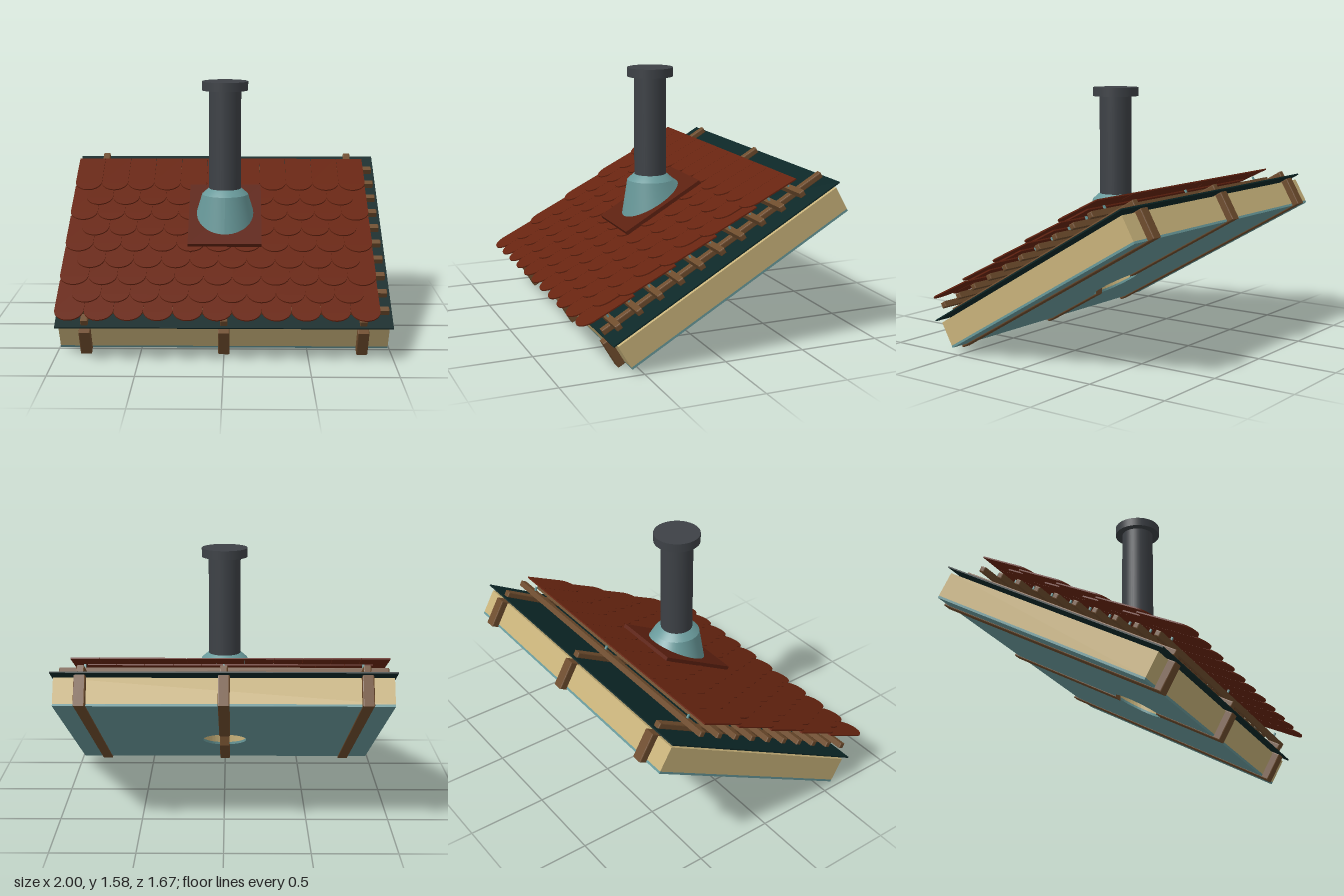
import * as THREE from 'three';

const mat = (name, color) => Object.assign(new THREE.MeshStandardMaterial({ color }), { name });

export function createModel() {
  const wood = mat('brown timber', 0x6e4c2d);
  const tan = mat('tan insulation', 0xc8b27a);
  const dark = mat('dark membrane', 0x0c2727);
  const red = mat('red clay', 0x672410);
  const deepRed = mat('deep red flashing', 0x5c2010);
  const teal = mat('teal', 0x68999a);
  const grey = mat('dark grey pipe', 0x3d4146);

  const model = new THREE.Group();
  model.name = 'roofSectionWithVentPipe';

  // Tilted group: local z runs down the slope, local y is the height above it
  const roof = new THREE.Group();
  roof.name = 'pitchedRoof';
  roof.rotation.x = Math.PI / 6;
  model.add(roof);

  const PIPE_Z = 0.06, HOLE_R = 0.14;
  const COS = Math.cos(Math.PI / 6), TAN = Math.tan(Math.PI / 6);
  // Where the upright pipe axis crosses a given height above the slope
  const pipeS = n => 0.0693 - TAN * n;

  function add(parent, name, geometry, material, x = 0, y = 0, z = 0) {
    const m = new THREE.Mesh(geometry, material);
    m.name = name;
    m.position.set(x, y, z);
    parent.add(m);
    return m;
  }
  // Plain box spanning s0..s1 down the slope and n0..n1 in height
  const layer = (name, w, s0, s1, n0, n1, material, x = 0) =>
    add(roof, name, new THREE.BoxGeometry(w, n1 - n0, s1 - s0), material, x, (n0 + n1) / 2, (s0 + s1) / 2);

  // Sheet with an upright round hole for the pipe
  function piercedLayer(name, w, s0, s1, n0, n1, material) {
    const mid = (n0 + n1) / 2;
    const shape = new THREE.Shape();
    shape.moveTo(-w / 2, -s1).lineTo(w / 2, -s1).lineTo(w / 2, -s0).lineTo(-w / 2, -s0).closePath();
    const hole = new THREE.Path();
    hole.absellipse(0, -pipeS(mid), HOLE_R, HOLE_R / COS, 0, Math.PI * 2, true);
    shape.holes.push(hole);
    const g = new THREE.ExtrudeGeometry(shape, { depth: n1 - n0, bevelEnabled: false, curveSegments: 20 });
    g.rotateX(-Math.PI / 2).translate(0, n0, 0);
    // Lean the hole wall so that it stands upright in the tilted roof
    const p = g.attributes.position;
    for (let i = 0; i < p.count; i++) {
      if (Math.abs(p.getX(i)) < 0.3) p.setZ(i, p.getZ(i) + TAN * (mid - p.getY(i)));
    }
    g.computeVertexNormals();
    add(roof, name, g, material);
  }

  // Bevelled beam from a side outline of [s, n] points
  function beam(name, x, w, points, material) {
    const b = 0.006;
    const shape = new THREE.Shape(points.map(([s, n]) => new THREE.Vector2(s, n)));
    const g = new THREE.ExtrudeGeometry(shape, {
      depth: w - 2 * b, bevelSize: b, bevelOffset: -b, bevelThickness: b, bevelSegments: 2,
    });
    g.rotateY(-Math.PI / 2).translate(w / 2 - b, 0, 0);
    add(roof, name, g, material, x);
  }

  // Insulation, lower lining and upper membrane
  piercedLayer('insulation', 1.96, -1.09, 0.473, 0.324, 0.478, tan);
  piercedLayer('innerLining', 1.96, -1.09, 0.473, 0.31, 0.324, teal);
  layer('membrane', 2, -1.116, 0.498, 0.5, 0.508, dark);
  layer('membraneSeal', 0.45, -0.33, 0.12, 0.494, 0.5, dark);

  // Rafters; the middle one is cut away around the pipe hole
  const S0 = -1.134, S1 = 0.52, N0 = 0.302, N1 = 0.484;
  for (const x of [-0.823, 0.823]) {
    beam('rafter', x, 0.068, [[S0, N0], [S1, N0], [S1, N1], [S0, N1]], wood);
  }
  const cut = HOLE_R / COS - 0.006;
  beam('upperMiddleRafter', 0, 0.068,
    [[S0, N0], [pipeS(N0) - cut, N0], [pipeS(N1) - cut, N1], [S0, N1]], wood);
  beam('lowerMiddleRafter', 0, 0.068,
    [[pipeS(N0) + cut, N0], [S1, N0], [S1, N1], [pipeS(N1) + cut, N1]], wood);

  // Counter battens down the slope
  for (const x of [-0.823, 0, 0.823]) {
    beam('counterBatten', x, 0.045, [[-1.1, 0.513], [0.486, 0.513], [0.486, 0.549], [-1.1, 0.549]], wood);
  }

  // Tile battens across the slope, with small fixings
  const STEP = 0.1447;
  for (let i = 0; i < 10; i++) {
    const s = 0.411 - STEP * i;
    beam('tileBatten', 0, 1.95, [
      [s - 0.018, 0.551], [s + 0.018, 0.551], [s + 0.018, 0.586], [s - 0.018, 0.586],
    ], wood);
    for (const x of [-0.823, 0, 0.823]) layer('battenFixing', 0.012, s - 0.005, s + 0.005, 0.586, 0.61, teal, x);
  }

  // Round-ended tiles, every second course shifted by half a tile
  const W = 0.172, LEN = 0.35, R = W / 2 - 0.0008;
  const tileShape = new THREE.Shape();
  tileShape.moveTo(R, 0).lineTo(-R, 0).lineTo(-R, -(LEN - R));
  tileShape.absarc(0, -(LEN - R), R, Math.PI, Math.PI * 2, false);
  tileShape.closePath();
  const tileGeo = new THREE.ExtrudeGeometry(tileShape, { depth: 0.008, bevelEnabled: false, curveSegments: 14 });
  tileGeo.rotateX(-Math.PI / 2);
  for (let row = 0; row < 9; row++) {
    const odd = row % 2;
    const course = new THREE.Group();
    course.name = 'tileCourse';
    course.position.set(0, 0.634, 0.235 - STEP * row);
    course.rotation.x = -0.066;
    roof.add(course);
    for (let i = 0; i < 11 - odd; i++) add(course, 'tile', tileGeo, red, -0.897 + W * (i + odd / 2));
  }

  // Flashing plate around the pipe
  layer('flashingPlate', 0.455, -0.6, -0.035, 0.662, 0.686, deepRed);

  // Collar whose foot follows the roof slope
  const smoothLathe = pts => new THREE.LatheGeometry(pts.map(([r, y]) => new THREE.Vector2(r, y)), 48);
  const skirt = smoothLathe([[0.18, 0], [0.145, 0.878]]);
  const p = skirt.attributes.position;
  for (let i = 0; i < p.count; i++) {
    if (p.getY(i) < 0.5) p.setY(i, (0.68 - 0.5 * (p.getZ(i) + PIPE_Z)) / COS);
  }
  skirt.computeVertexNormals();
  add(model, 'collarSkirt', skirt, teal, 0, 0, PIPE_Z);
  add(model, 'collarShoulder', smoothLathe([[0.145, 0.878], [0.103, 0.915], [0.095, 0.915]]), teal, 0, 0, PIPE_Z);

  // Vent pipe and its cap
  add(model, 'ventPipe', new THREE.CylinderGeometry(0.1, 0.1, 1.08, 40), grey, 0, 0.99, PIPE_Z);
  add(model, 'pipeCap', new THREE.CylinderGeometry(0.143, 0.143, 0.055, 40), grey, 0, 1.5575, PIPE_Z);

  return model;
}
